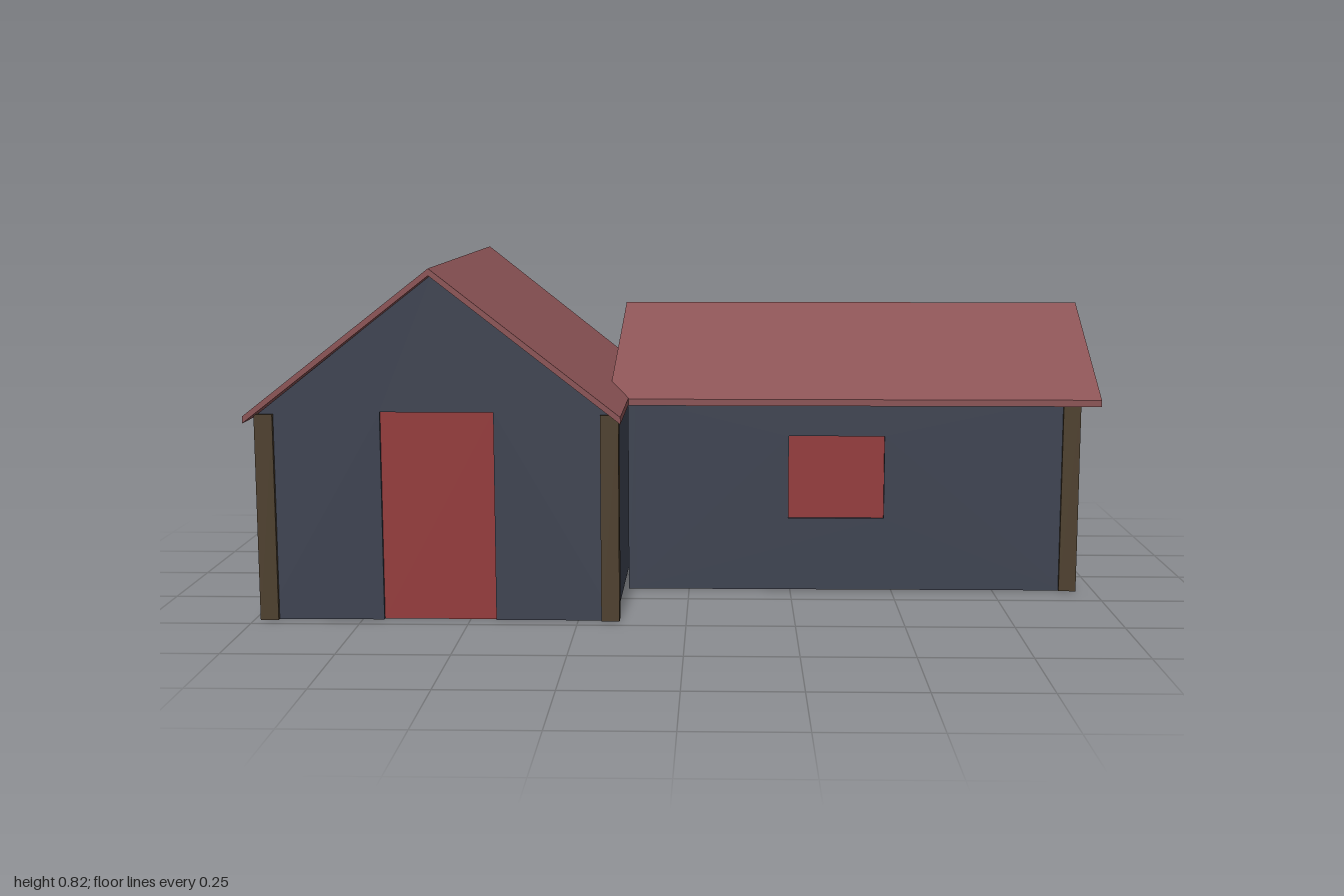
import * as THREE from 'three';

const T = 0.02; // wall thickness
const mat = (color) => new THREE.MeshStandardMaterial({ color });

export function createModel() {
  const house = new THREE.Group();
  house.name = 'house';
  const wallMat = mat(0x3d4250);
  const postMat = mat(0x4d3f2d);
  const redMat = mat(0x943a3b);
  const brownMat = mat(0x644343);
  const roofMat = mat(0x8a5254);
  roofMat.side = THREE.DoubleSide;

  const add = (name, geometry, material) => {
    const mesh = new THREE.Mesh(geometry, material);
    mesh.name = name;
    house.add(mesh);
    return mesh;
  };
  const vectors = (points) => points.map(([x, y]) => new THREE.Vector2(x, y));

  // Upright wall from an outline; alongZ turns it so its length runs in z
  function wall(name, outline, at, { alongZ = false, holes = [] } = {}) {
    const shape = new THREE.Shape(vectors(outline));
    for (const [a, b, lo, hi] of holes) {
      shape.holes.push(new THREE.Path(vectors([[a, lo], [a, hi], [b, hi], [b, lo]])));
    }
    const mesh = add(name, new THREE.ExtrudeGeometry(shape, { depth: T, bevelEnabled: false }), wallMat);
    if (alongZ) {
      mesh.rotation.y = -Math.PI / 2;
      mesh.position.x = at + T / 2;
    } else {
      mesh.position.z = at - T / 2;
    }
  }
  const rect = (a, b, h) => [[a, 0], [b, 0], [b, h], [a, h]];
  const gable = (a, b, h, mid, peak) => [[a, 0], [b, 0], [b, h], [mid, peak], [a, h]];
  // Puts a doorway notch into the bottom edge of an outline
  const doorway = ([first, ...rest], [a, b, , h]) => [first, [a, 0], [a, h], [b, h], [b, 0], ...rest];

  // Thin panel set inside a wall opening
  function panel(name, [a, b, lo, hi], z, material) {
    add(name, new THREE.BoxGeometry(b - a, hi - lo, 0.008), material)
      .position.set((a + b) / 2, (lo + hi) / 2, z);
  }

  // Roof slab: the same six-point ring at both ends, joined by quads
  function roof(name, startRing, endRing) {
    const ring = [...startRing, ...endRing];
    const index = [];
    const quad = (a, b, c, d) => index.push(a, b, c, a, c, d);
    for (let i = 0; i < 6; i++) {
      const j = (i + 1) % 6;
      quad(i, j, j + 6, i + 6);
    }
    quad(0, 5, 4, 1);
    quad(1, 4, 3, 2);
    quad(6, 7, 10, 11);
    quad(7, 8, 9, 10);
    const geometry = new THREE.BufferGeometry();
    geometry.setAttribute('position', new THREE.Float32BufferAttribute(ring.flat(), 3));
    geometry.setIndex(index);
    const flat = geometry.toNonIndexed();
    flat.computeVertexNormals();
    add(name, flat, roofMat);
  }
  // Section points: top eave, ridge, eave, then back along the underside
  const section = (a, mid, b, eave, peak, thick = 0.016) => [
    [a, eave], [mid, peak], [b, eave],
    [b, eave - thick], [mid, peak - thick], [a, eave - thick],
  ];

  // Openings: [from x, to x, bottom, top]
  const frontDoor = [-0.7, -0.44, 0, 0.485];
  const frontWindow = [0.245, 0.48, 0.18, 0.385];
  const backDoor = [0.59, 0.81, 0, 0.445];
  const backWindow = [0.12, 0.355, 0.18, 0.385];

  // Main block, gables facing front and back
  const mainGable = gable(-0.977, -0.163, 0.482, -0.573, 0.8);
  wall('mainFrontWall', doorway(mainGable, frontDoor), 0.447);
  wall('mainBackWall', mainGable, -0.467);
  for (const [name, x] of [['mainLeftSideWall', -0.967], ['mainInnerWall', -0.173]]) {
    wall(name, rect(-0.457, 0.437, 0.482), x, { alongZ: true });
  }
  panel('frontDoor', frontDoor, 0.445, redMat);

  // Side wing, gables facing sideways
  const wingGable = gable(-0.477, 0.147, 0.482, -0.173, 0.672);
  wall('wingEndWall', wingGable, 0.937, { alongZ: true });
  wall('wingInnerWall', wingGable, -0.14, { alongZ: true });
  wall('wingFrontWall', rect(-0.15, 0.93, 0.482), 0.137, { holes: [frontWindow] });
  wall('wingBackWall', doorway(rect(-0.163, 0.93, 0.482), backDoor), -0.467, { holes: [backWindow] });
  panel('frontWindow', frontWindow, 0.135, redMat);
  panel('backDoor', backDoor, -0.465, brownMat);
  panel('backWindow', backWindow, -0.465, brownMat);

  // Corner posts
  const corners = [
    [-0.965, 0.446], [-0.175, 0.446], [-0.965, -0.465],
    [-0.175, -0.465], [0.935, 0.134], [0.935, -0.465],
  ];
  for (const [x, z] of corners) {
    add('cornerPost', new THREE.BoxGeometry(0.042, 0.48, 0.042), postMat).position.set(x, 0.24, z);
  }

  // Main roof, its ridge rising slightly to the back
  const mainRing = (z, peak) => section(-1, -0.573, -0.147, 0.482, peak).map(([x, y]) => [x, y, z]);
  roof('mainRoof', mainRing(0.51, 0.815), mainRing(-0.51, 0.82));

  // Wing roof, with a skewed edge where it meets the main roof
  const wingRing = (edge) => section(-0.51, -0.175, 0.18, 0.48, 0.69).map(([z, y]) => [edge(z), y, z]);
  roof('wingRoof', wingRing((z) => -0.17 - 0.0725 * (z + 0.175)), wingRing(() => 1));

  return house;
}
